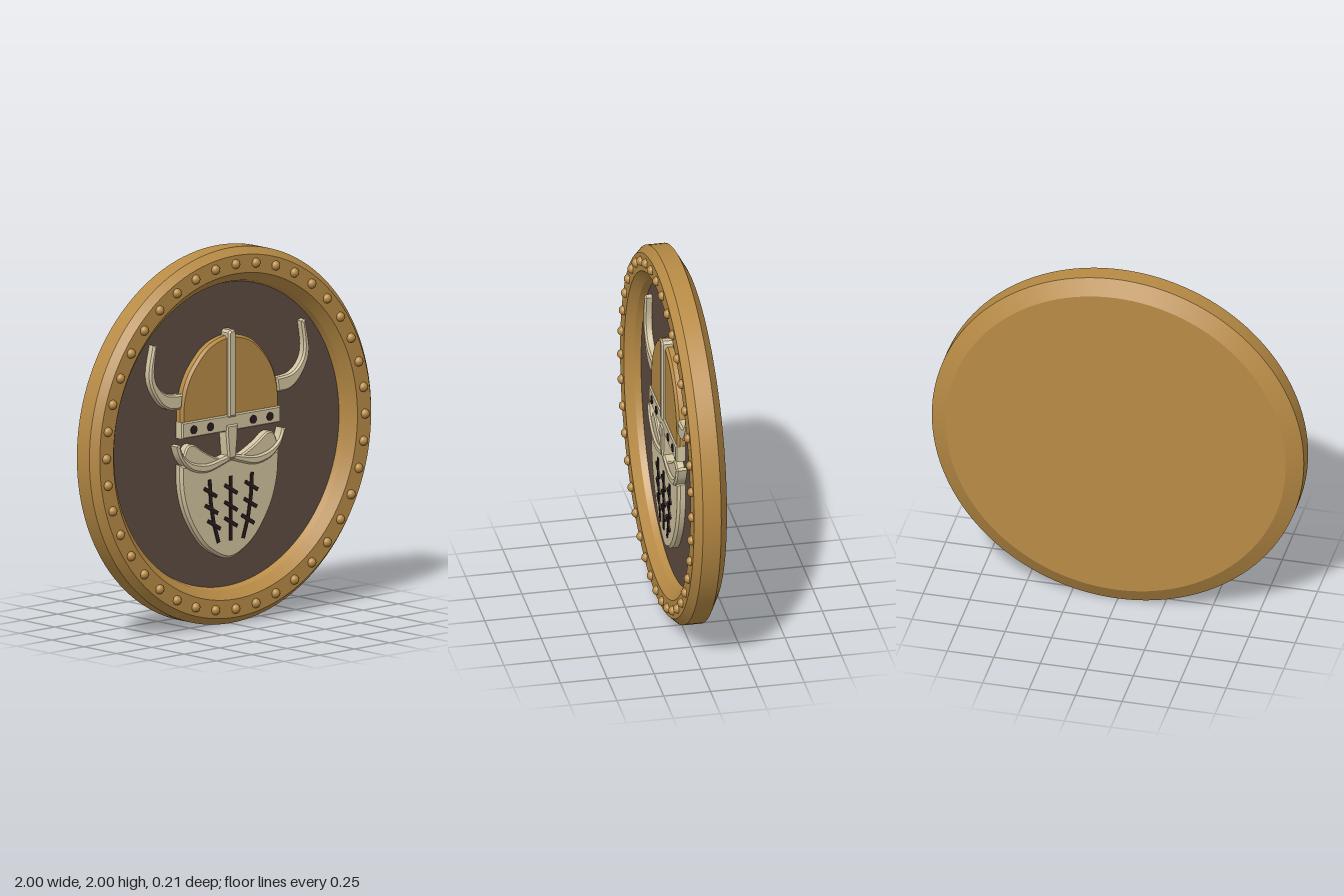
import * as THREE from 'three';
import { toCreasedNormals } from 'three/addons/utils/BufferGeometryUtils.js';

const material = (name, color) => new THREE.MeshStandardMaterial({ name, color });

export function createModel() {
  const gold = material('aged gold', 0xb88b45);
  const brown = material('dark wood', 0x5f4c41);
  const bone = material('bone', 0xd2c4a0);
  const dark = material('dark marking', 0x2b1c1e);

  const model = new THREE.Group();
  model.name = 'roundShield';
  const face = new THREE.Group(); // origin on the ground, panel at z = 0
  face.name = 'helmetedFace';
  model.add(face);

  function add(parent, name, geometry, mat) {
    const mesh = new THREE.Mesh(geometry, mat);
    mesh.name = name;
    parent.add(mesh);
    return mesh;
  }

  // Smooth open curve through control points
  const curve = (pts) => new THREE.SplineCurve(pts.map((p) => new THREE.Vector2(...p))).getPoints(pts.length * 5);
  const mirror = (pts) => pts.map(([x, y]) => [-x, y]);
  const vectors = (pts) => pts.map((p) => new THREE.Vector2(...p));

  // Raised plate standing on the panel, with a small chamfer round its front
  function plate(name, points, front, mat, bevel = 0.009) {
    const geometry = new THREE.ExtrudeGeometry(new THREE.Shape(points), {
      depth: front - bevel, bevelEnabled: true, bevelThickness: bevel,
      bevelSize: bevel, bevelOffset: -bevel, bevelSegments: 1,
    });
    return add(face, name, toCreasedNormals(geometry, 0.4), mat);
  }

  // Shield body with bevelled rim and recessed front
  const profile = [
    [0, -0.105], [0.914, -0.105], [1, -0.057], [1, 0.04], [0.963, 0.08],
    [0.866, 0.08], [0.82, 0.035], [0.808, -0.002],
  ];
  const body = new THREE.LatheGeometry(vectors(profile), 128);
  body.rotateX(Math.PI / 2);
  add(model, 'rim', toCreasedNormals(body, 0.35), gold).position.y = 1;
  add(model, 'panel', new THREE.CircleGeometry(0.812, 96), brown).position.y = 1;

  // Studs round the rim
  const studs = new THREE.Group();
  studs.name = 'studs';
  model.add(studs);
  const studGeometry = new THREE.SphereGeometry(0.026, 16, 8, 0, Math.PI * 2, 0, Math.PI / 2);
  studGeometry.rotateX(Math.PI / 2);
  for (let i = 0; i < 40; i++) {
    const a = (i / 40) * Math.PI * 2;
    add(studs, 'stud', studGeometry, gold)
      .position.set(0.918 * Math.cos(a), 1 + 0.918 * Math.sin(a), 0.079);
  }

  // Helmet dome
  const domeRight = [[0.347, 1.1], [0.342, 1.21], [0.312, 1.315], [0.25, 1.41], [0.145, 1.5]];
  plate('helmetDome', curve([...domeRight, [0, 1.536], ...mirror(domeRight).reverse()]), 0.043, gold, 0.014);

  // Crest strip, brow band and nose guard
  plate('crest', vectors([[-0.027, 1.1], [0.027, 1.1], [0.027, 1.55], [0.015, 1.565], [-0.015, 1.565], [-0.027, 1.55]]), 0.062, bone, 0.01);
  plate('browBand', vectors([[-0.35, 1.025], [0.35, 1.025], [0.35, 1.113], [-0.35, 1.113]]), 0.052, bone, 0.007);
  plate('noseGuard', vectors([
    [-0.027, 0.878], [0.027, 0.878], [0.04, 1.01], [0.04, 1.06], [-0.04, 1.06], [-0.04, 1.01],
  ]), 0.06, bone, 0.009);
  for (const x of [-0.27, -0.152, 0.152, 0.27]) {
    const rivet = add(face, 'bandRivet', new THREE.CylinderGeometry(0.023, 0.023, 0.006, 20), dark);
    rivet.rotation.x = Math.PI / 2;
    rivet.position.set(x, 1.067, 0.053);
  }

  // Horns, cheeks and moustache, mirrored left and right
  const hornOuter = [[0.34, 1.185], [0.42, 1.188], [0.49, 1.23], [0.55, 1.315], [0.567, 1.405], [0.538, 1.548]];
  const hornInner = [[0.512, 1.54], [0.53, 1.41], [0.508, 1.33], [0.44, 1.274], [0.33, 1.262]];
  const lipLower = [[0, 0.872], [0.07, 0.848], [0.175, 0.825], [0.285, 0.85], [0.355, 0.915], [0.387, 0.99]];
  const lipUpper = [[0.362, 0.995], [0.335, 0.935], [0.27, 0.89], [0.175, 0.872], [0.085, 0.885], [0, 0.905]];
  const cheek = [[0.02, 0.87], [0.1, 0.895], [0.19, 0.94], [0.255, 0.982], [0.305, 0.978], [0.335, 0.92]];
  for (const [side, flip] of [['left', (p) => p], ['right', mirror]]) {
    plate(side + 'Horn', [...curve(flip(hornOuter)), ...curve(flip(hornInner))], 0.04, bone, 0.01);
    plate(side + 'Moustache', [...curve(flip(lipLower)), ...curve(flip(lipUpper))], 0.056, bone, 0.01);
    plate(side + 'Cheek', [...curve(flip(cheek)), ...vectors(flip([[0.28, 0.87], [0.17, 0.85]]))], 0.044, bone, 0.008);
  }

  // Beard
  const beardRight = [[0.1, 0.378], [0.2, 0.455], [0.295, 0.595], [0.342, 0.74], [0.35, 0.885]];
  plate('beard', [
    ...curve([...mirror(beardRight).reverse(), [0, 0.345], ...beardRight]),
    ...vectors([[0.18, 0.85], [0, 0.88], [-0.18, 0.85]]),
  ], 0.042, bone, 0.014);

  // Braid marks: thin strokes on the beard
  function stroke(name, [x1, y1], [x2, y2], width, z) {
    const length = Math.hypot(x2 - x1, y2 - y1);
    const mesh = add(face, name, new THREE.BoxGeometry(length + width * 0.4, width, 0.008), dark);
    mesh.position.set((x1 + x2) / 2, (y1 + y2) / 2, z);
    mesh.rotation.z = Math.atan2(y2 - y1, x2 - x1);
  }
  const strands = [-1, 0, 1].map((s) => [[0.15 * s, 0.78], [0.142 * s, 0.66], [0.122 * s, 0.55], [0.088 * s, 0.445]]);
  for (const strand of strands) {
    for (let i = 0; i < 3; i++) stroke('braidStrand', strand[i], strand[i + 1], 0.02, 0.044);
    for (const [row, y] of [0.715, 0.625, 0.54].entries()) {
      const x = strand[0][0] * [0.97, 0.92, 0.8][row];
      stroke('braidTie', [x - 0.04, y + 0.024], [x + 0.04, y - 0.024], 0.019, 0.046);
    }
  }

  return model;
}
